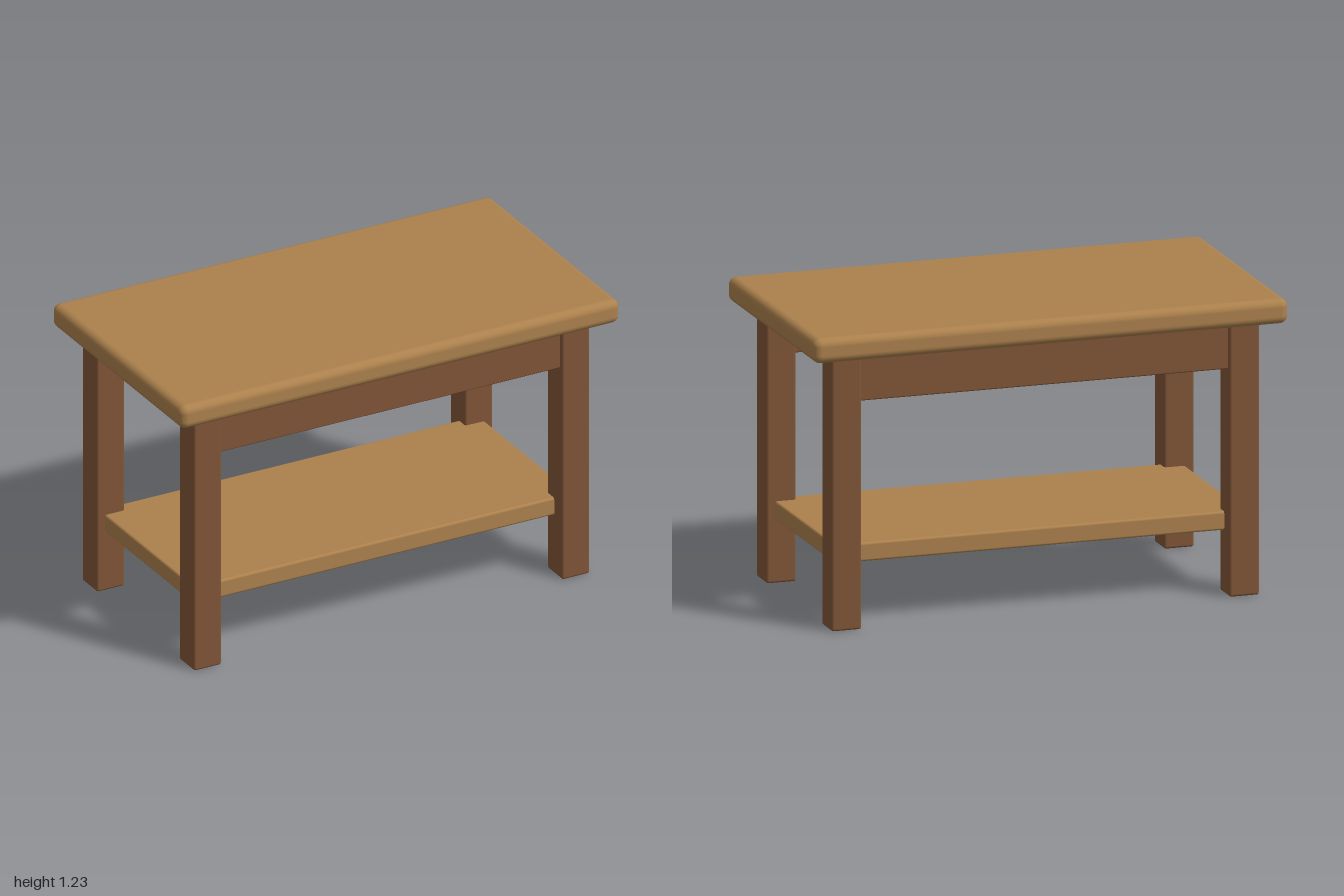
import * as THREE from 'three';
import { RoundedBoxGeometry } from 'three/addons/geometries/RoundedBoxGeometry.js';

export function createModel() {
  const table = new THREE.Group();
  table.name = 'table';

  const lightWood = new THREE.MeshStandardMaterial({ color: 0xac814d });
  lightWood.name = 'lightWood';
  const darkWood = new THREE.MeshStandardMaterial({ color: 0x805537 });
  darkWood.name = 'darkWood';

  // Softened board: size, bottom height, centre and edge radius
  function board(name, material, [w, h, d], x, bottom, z, radius, segments = 3) {
    const mesh = new THREE.Mesh(new RoundedBoxGeometry(w, h, d, segments, radius), material);
    mesh.name = name;
    mesh.position.set(x, bottom + h / 2, z);
    table.add(mesh);
  }

  // Thick rounded top and the lower shelf, whose corners are let into the legs
  board('tabletop', lightWood, [2, 0.103, 1.08], 0, 1.125, 0, 0.033, 5);
  board('shelf', lightWood, [1.73, 0.077, 0.79], 0, 0.26, 0, 0.01);

  for (const [zName, sz] of [['front', 1], ['back', -1]]) {
    // Long apron rail, set slightly in from the leg faces
    board(`${zName}Apron`, darkWood, [1.7, 0.176, 0.08], 0, 0.935, sz * 0.4, 0.006);
    // Square legs
    for (const [xName, sx] of [['Left', 1], ['Right', -1]]) {
      board(`${zName}${xName}Leg`, darkWood, [0.125, 1.125, 0.125], sx * 0.838, 0, sz * 0.4, 0.01);
    }
  }

  return table;
}
